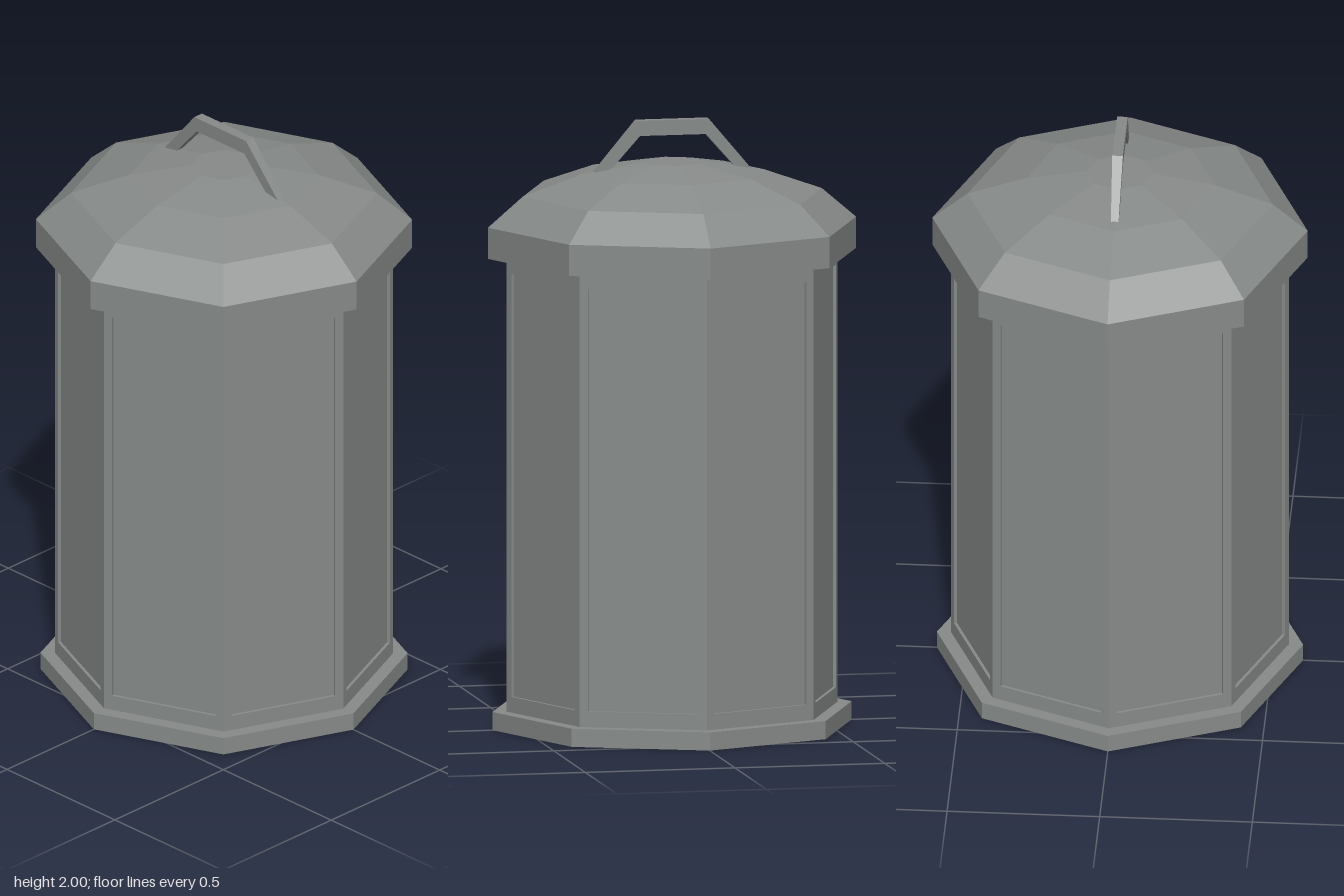
import * as THREE from 'three';

const SIDES = 8;
const metal = new THREE.MeshStandardMaterial({ color: 0x868a88 });
metal.name = 'grey metal';

// Facet a geometry so every face has its own normal
function facet(geometry) {
  const g = geometry.index ? geometry.toNonIndexed() : geometry;
  g.computeVertexNormals();
  return g;
}

function part(name, geometry) {
  const mesh = new THREE.Mesh(facet(geometry), metal);
  mesh.name = name;
  return mesh;
}

// Octagonal solid turned from [radius, height] pairs, bottom to top
function turned(name, profile) {
  return part(name, new THREE.LatheGeometry(profile.map(([r, y]) => new THREE.Vector2(r, y)), SIDES));
}

function rectangle(target, x0, y0, x1, y1) {
  target.moveTo(x0, y0);
  target.lineTo(x1, y0);
  target.lineTo(x1, y1);
  target.lineTo(x0, y1);
  target.closePath();
  return target;
}

export function createModel() {
  const model = new THREE.Group();
  model.name = 'trashCan';

  // Base plinth
  model.add(turned('base', [[0, 0], [0.6, 0], [0.6, 0.06], [0, 0.06]]));

  // Recessed wall panels, formed by an inner core
  const radius = 0.553, recess = 0.01;
  const apothem = radius * Math.cos(Math.PI / SIDES);
  const half = radius * Math.sin(Math.PI / SIDES);
  const coreRadius = (apothem - recess) / Math.cos(Math.PI / SIDES);
  const core = part('wallPanels', new THREE.CylinderGeometry(coreRadius, coreRadius, 1.5, SIDES, 1, true));
  core.position.y = 0.81;
  model.add(core);

  // Raised frame around each panel
  const shape = rectangle(new THREE.Shape(), -half, 0.06, half, 1.56);
  shape.holes.push(rectangle(new THREE.Path(), -half + 0.029, 0.112, half - 0.029, 1.508));
  const frameGeometry = new THREE.ExtrudeGeometry(shape, { depth: recess, bevelEnabled: false });
  frameGeometry.translate(0, 0, apothem - recess);
  const frames = new THREE.Group();
  frames.name = 'wallFrames';
  for (let i = 0; i < SIDES; i++) {
    const frame = part('wallFrame', frameGeometry);
    frame.rotation.y = (i + 0.5) * Math.PI * 2 / SIDES;
    frames.add(frame);
  }
  model.add(frames);

  // Domed lid with an upright rim
  model.add(turned('lid', [
    [0, 1.557], [0.615, 1.557], [0.615, 1.66], [0.5, 1.758], [0.307, 1.826], [0.107, 1.861], [0, 1.861],
  ]));

  // Handle: a bent bar that narrows toward its feet
  const outline = new THREE.Shape([
    [-0.262, 1.832], [-0.215, 1.832], [-0.11, 1.95], [0.11, 1.95],
    [0.215, 1.832], [0.262, 1.832], [0.12, 2], [-0.12, 2],
  ].map(([z, y]) => new THREE.Vector2(z, y)));
  const handle = new THREE.ExtrudeGeometry(outline, { depth: 1, bevelEnabled: false });
  handle.translate(0, 0, -0.5).rotateY(Math.PI / 2);
  const p = handle.attributes.position;
  for (let i = 0; i < p.count; i++) {
    const t = (p.getY(i) - 1.832) / 0.168;
    p.setX(i, p.getX(i) * (0.025 + 0.01 * t));
  }
  model.add(part('handle', handle));

  return model;
}
